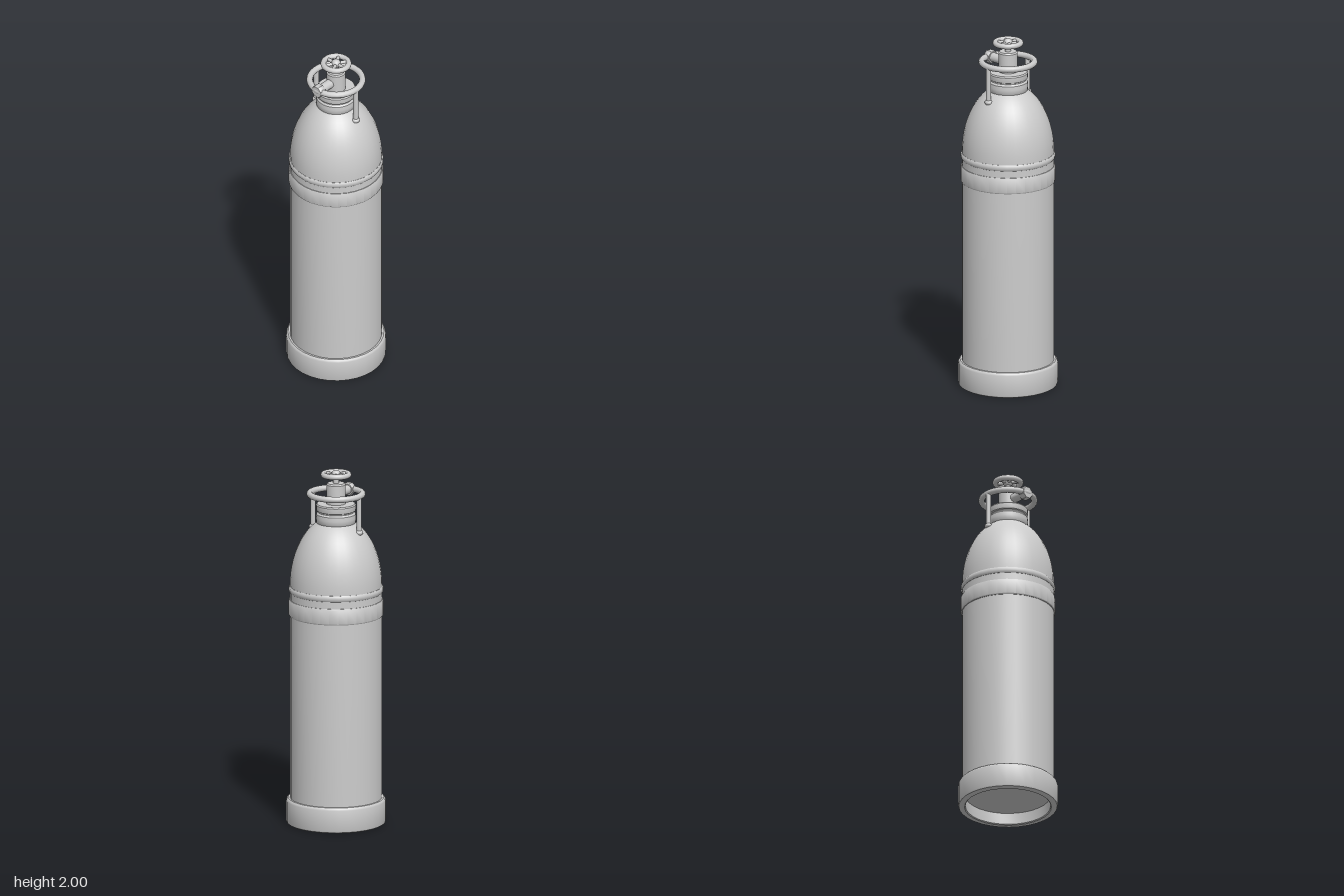
import * as THREE from 'three';
import { toCreasedNormals } from 'three/addons/utils/BufferGeometryUtils.js';

const SEG = 32;
const material = new THREE.MeshStandardMaterial({ color: 0xcccccc });

export function createModel() {
  const model = new THREE.Group();

  const add = (name, geometry, x = 0, y = 0, z = 0, parent = model) => {
    const mesh = new THREE.Mesh(geometry, material);
    mesh.name = name;
    mesh.position.set(x, y, z);
    parent.add(mesh);
    return mesh;
  };
  // Turned part from [radius, height] pairs, listed bottom to top
  const turned = (points, seg = SEG) => toCreasedNormals(
    new THREE.LatheGeometry(points.map(([r, y]) => new THREE.Vector2(r, y)), seg), 0.6);
  // Horizontal ring
  const ring = (radius, tube, seg = SEG) =>
    new THREE.TorusGeometry(radius, tube, 12, seg).rotateX(Math.PI / 2);
  // Rod centred on its own length
  const rod = (radius, length, seg = 16) => new THREE.CylinderGeometry(radius, radius, length, seg);

  // Hollow foot with rounded outer edges
  add('footRing', turned([
    [0, 0.07], [0.235, 0.07], [0.235, 0.005], [0.24, 0], [0.265, 0], [0.272, 0.004], [0.275, 0.012],
    [0.275, 0.128], [0.272, 0.137], [0.265, 0.143], [0.25, 0.143],
  ]));

  // Cylinder body running into an elliptical shoulder
  const body = [[0.255, 0.1], [0.255, 1.35]];
  for (let i = 1; i <= 12; i++) {
    const a = (i / 12) * 1.17;
    body.push([0.255 * Math.cos(a), 1.35 + 0.388 * Math.sin(a)]);
  }
  body.push([0, 1.71]);
  add('tankBody', turned(body));

  // Bands around the shoulder
  add('wideBand', turned([
    [0.25, 1.178], [0.258, 1.178], [0.262, 1.184], [0.262, 1.262], [0.258, 1.27], [0.25, 1.27],
  ]));
  add('narrowBand', turned([
    [0.25, 1.31], [0.256, 1.31], [0.261, 1.317], [0.262, 1.328], [0.261, 1.337], [0.256, 1.344], [0.25, 1.344],
  ]));

  // Neck with two collars and a groove between them
  add('neckCollar', turned([
    [0.09, 1.68], [0.103, 1.697], [0.109, 1.705], [0.111, 1.73], [0.109, 1.752], [0.1, 1.762],
    [0.1, 1.768], [0.108, 1.772], [0.11, 1.78], [0.11, 1.803], [0.105, 1.81], [0, 1.81],
  ]));

  // Valve body and stem
  add('valveBody', turned([
    [0.053, 1.8], [0.053, 1.918], [0.047, 1.926], [0, 1.926],
  ], 24));
  add('valveStem', rod(0.016, 0.06), 0, 1.945);

  // Side outlet with a faceted cap
  add('outletPipe', rod(0.026, 0.13).rotateX(Math.PI / 2), 0, 1.863, 0.075);
  const cap = turned([
    [0, -0.02], [0.034, -0.02], [0.038, -0.014], [0.038, 0.014], [0.034, 0.02], [0, 0.02],
  ], 8).rotateY(Math.PI / 8).rotateX(Math.PI / 2);
  add('outletCap', cap, 0, 1.863, 0.14);

  // Spoked hand wheel
  const wheel = new THREE.Group();
  wheel.name = 'handWheel';
  wheel.position.y = 1.974;
  model.add(wheel);
  add('wheelRim', ring(0.07, 0.0155), 0, 0, 0, wheel);
  add('wheelHub', new THREE.SphereGeometry(0.026, 20, 14), 0, 0, 0, wheel);
  for (let i = 0; i < 3; i++) {
    const spoke = add('wheelSpokes', rod(0.01, 0.14, 10).rotateZ(Math.PI / 2), 0, 0, 0, wheel);
    spoke.rotation.y = (i * Math.PI) / 3;
  }

  // Guard ring carried on two posts with ball feet
  add('guardRing', ring(0.146, 0.0175), 0, 1.865);
  for (const side of [-1, 1]) {
    add('guardPost', rod(0.0145, 0.205), side * 0.148, 1.763);
    add('guardFoot', new THREE.SphereGeometry(0.023, 16, 12).scale(1, 0.75, 1), side * 0.147, 1.662);
  }

  return model;
}
